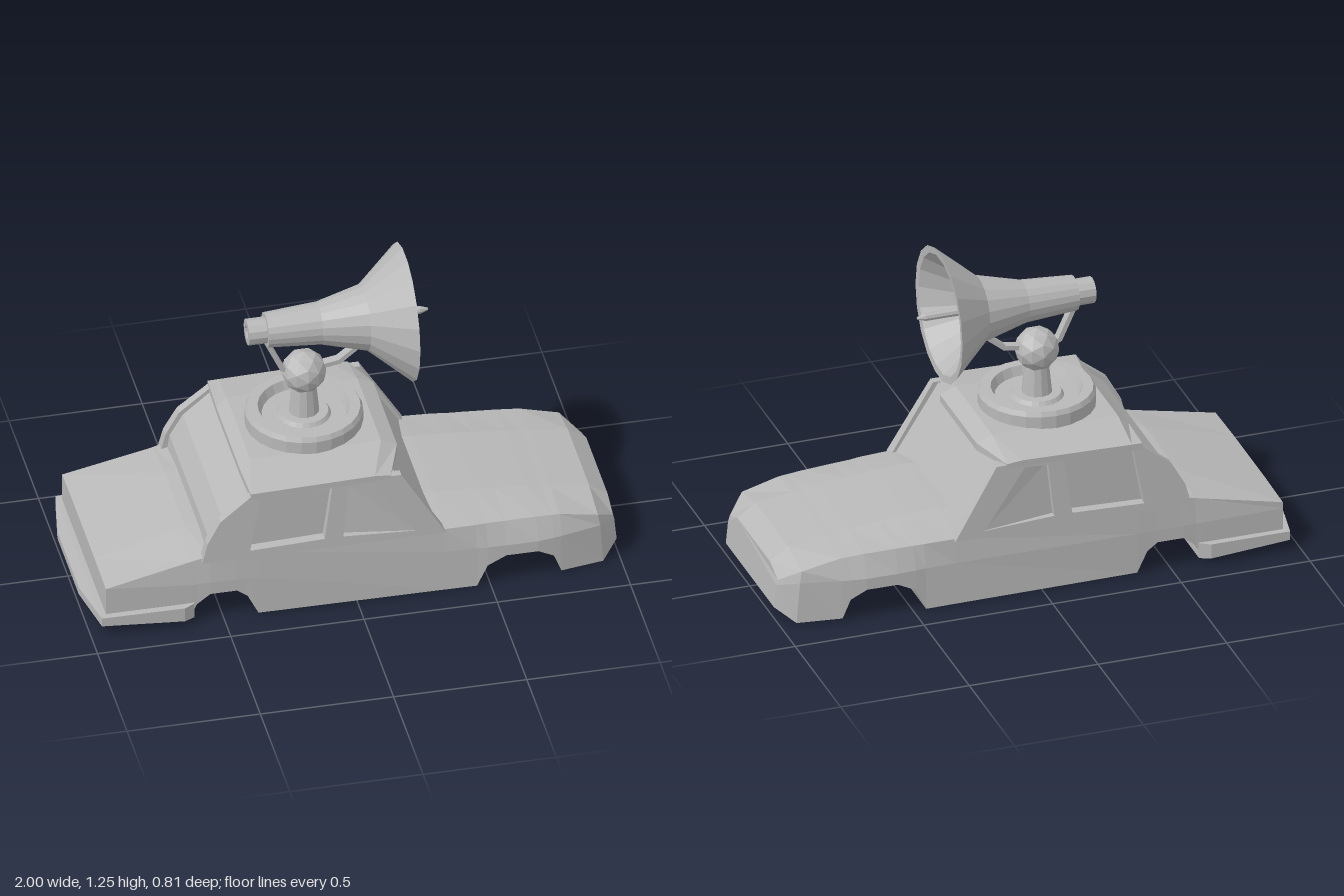
import * as THREE from 'three';

const grey = new THREE.MeshStandardMaterial({ color: 0xb8b8b8, flatShading: true, side: THREE.DoubleSide });
grey.name = 'plain grey';

function add(parent, name, geometry, x = 0, y = 0, z = 0) {
  const mesh = new THREE.Mesh(geometry, grey);
  mesh.name = name;
  mesh.position.set(x, y, z);
  parent.add(mesh);
  return mesh;
}

// Skin a list of equal-length rings and close both ends
function loft(rings) {
  const n = rings[0].length, pos = rings.flat(2), idx = [];
  for (let s = 0; s < rings.length - 1; s++) {
    for (let i = 0; i < n; i++) {
      const j = (i + 1) % n, a = s * n + i, b = s * n + j;
      idx.push(a, b, b + n, a, b + n, a + n);
    }
  }
  const e = (rings.length - 1) * n;
  for (let i = 1; i < n - 1; i++) idx.push(0, i + 1, i, e, e + i, e + i + 1);
  const g = new THREE.BufferGeometry();
  g.setAttribute('position', new THREE.Float32BufferAttribute(pos, 3));
  g.setIndex(idx);
  g.computeVertexNormals();
  return g;
}

const outline = (pts) => pts.map(([x, y]) => new THREE.Vector2(x, y));
const lathe = (pts, sides) => new THREE.LatheGeometry(outline(pts), sides);

// Lower body: x, underside y, bottom/mid/shoulder half widths, shoulder y, top y, forward lean at the bottom
function lowerBody() {
  const stations = [
    [-0.94, 0.06, 0.37, 0.37, 0.37, 0.195, 0.2, 0],
    [-0.62, 0.035, 0.378, 0.378, 0.365, 0.265, 0.285, 0],
    [-0.6, 0.08, 0.378, 0.378, 0.365, 0.27, 0.29, 0],
    [-0.55, 0.12, 0.38, 0.38, 0.37, 0.28, 0.295, 0],
    [-0.45, 0.12, 0.38, 0.38, 0.375, 0.28, 0.295, 0],
    [-0.41, 0.09, 0.38, 0.381, 0.376, 0.28, 0.295, 0],
    [-0.37, 0.01, 0.383, 0.382, 0.377, 0.28, 0.295, 0],
    [0.33, 0.006, 0.383, 0.376, 0.365, 0.265, 0.305, 0],
    [0.45, 0.005, 0.383, 0.378, 0.36, 0.262, 0.298, 0],
    [0.49, 0.09, 0.384, 0.382, 0.355, 0.26, 0.295, 0],
    [0.56, 0.125, 0.384, 0.384, 0.352, 0.258, 0.288, 0],
    [0.68, 0.125, 0.384, 0.384, 0.345, 0.254, 0.276, 0],
    [0.74, 0.09, 0.375, 0.375, 0.342, 0.25, 0.268, 0],
    [0.77, 0.015, 0.37, 0.37, 0.34, 0.248, 0.265, 0],
    [0.915, 0.005, 0.33, 0.335, 0.33, 0.215, 0.245, 0.02],
    [0.985, 0.05, 0.265, 0.265, 0.265, 0.16, 0.195, 0.015],
  ];
  return loft(stations.map(([x, yb, hb, hm, hs, ys, yt, lean]) => {
    const half = [[x, yt, 0.18], [x, ys, hs], [x + lean * 0.4, Math.min(0.17, ys - 0.02), hm], [x + lean, yb, hb]];
    return [...half, ...half.map(([a, b, c]) => [a, b, -c]).reverse()];
  }));
}

// Wrap-around rear bumper
function bumper() {
  const stations = [[-1, 0.18, 0.05, 0.08], [-0.96, 0.395, 0.048, 0.083], [-0.65, 0.405, 0.03, 0.088], [-0.61, 0.384, 0.028, 0.09]];
  return loft(stations.map(([x, h, b, t]) => [[x, t, -h], [x, t, h], [x, b, h], [x, b, -h]]));
}

const rearWindow = [[-0.4, 0.29], [-0.36, 0.515], [-0.09, 0.515], [-0.12, 0.3]];
const frontWindow = [[-0.05, 0.3], [-0.03, 0.51], [0.06, 0.515], [0.22, 0.285]];
const outerZ = (y) => 0.38 - (y - 0.25) * 0.05;

// Cabin side with window openings, leaning in towards the roof
function cabinSide(s) {
  const shape = new THREE.Shape(outline([[-0.58, 0.26], [0.335, 0.26], [0.17, 0.535],
    [-0.38, 0.535], [-0.41, 0.51], [-0.51, 0.43], [-0.56, 0.34]]));
  shape.holes = [rearWindow, frontWindow].map((w) => new THREE.Path(outline(w)));
  const g = new THREE.ExtrudeGeometry(shape, { depth: 1, bevelEnabled: false });
  const p = g.attributes.position;
  for (let i = 0; i < p.count; i++) {
    const outer = (p.getZ(i) > 0.5) === (s > 0);
    p.setZ(i, s * (outer ? outerZ(p.getY(i)) : 0.335));
  }
  return g;
}

// Front door pane: sunk at the door post, nearly flush at the windscreen
function frontPane(s) {
  const g = new THREE.ShapeGeometry(new THREE.Shape(outline(frontWindow)));
  const p = g.attributes.position;
  for (let i = 0; i < p.count; i++) {
    const sink = 0.022 * Math.max(0, 1 - (p.getX(i) + 0.05) / 0.15);
    p.setZ(i, s * (outerZ(p.getY(i)) - 0.003 - sink));
  }
  if (s < 0) g.index.array.reverse();
  g.computeVertexNormals();
  return g;
}

// Roof with chamfered sides and a front lip
function roof() {
  const stations = [[-0.367, 0.13, 0.525, 0.54, 0.54, -0.395], [-0.2, 0.19, 0.525, 0.555, 0.575, -0.4],
    [0.2, 0.19, 0.525, 0.555, 0.575, -0.4], [0.367, 0.13, 0.525, 0.54, 0.54, -0.395]];
  return loft(stations.map(([z, xf, yb, yl, yt, xr]) => [
    [xf, yb, z], [xf, yl, z], [xf - 0.06, yt + 0.006, z], [xr + 0.04, yt - 0.004, z], [xr, yb + 0.01, z], [xr, yb - 0.015, z]]));
}

export function createModel() {
  const model = new THREE.Group();
  model.name = 'loudspeakerCar';

  const car = new THREE.Group();
  car.name = 'car';
  model.add(car);
  add(car, 'lowerBody', lowerBody());
  add(car, 'rearBumper', bumper());
  const core = new THREE.Shape(outline([[-0.56, 0.24], [0.325, 0.24], [0.315, 0.27], [0.15, 0.53],
    [-0.385, 0.53], [-0.395, 0.505], [-0.495, 0.42], [-0.545, 0.335]]));
  add(car, 'cabinCore', new THREE.ExtrudeGeometry(core, { depth: 0.68, bevelEnabled: false }), 0, 0, -0.34);
  for (const s of [1, -1]) {
    add(car, 'cabinSide', cabinSide(s));
    add(car, 'frontDoorPane', frontPane(s));
  }
  add(car, 'roof', roof());

  // Turntable and ball mount
  const mount = new THREE.Group();
  mount.name = 'speakerMount';
  mount.position.x = -0.115;
  model.add(mount);
  add(mount, 'turntable', lathe([[0, 0.56], [0.218, 0.56], [0.218, 0.622], [0.208, 0.64], [0.17, 0.64],
    [0.155, 0.605], [0.1, 0.605], [0.09, 0.62], [0, 0.62]], 24));
  add(mount, 'neck', new THREE.CylinderGeometry(0.045, 0.058, 0.13, 12), 0, 0.675);
  add(mount, 'ball', new THREE.IcosahedronGeometry(0.084, 1), 0, 0.795);

  // Bracket arms from the ball to the horn
  const arms = [[[-0.06, 0.81], [-0.085, 0.825], [-0.14, 0.945]], [[0.07, 0.815], [0.13, 0.825], [0.21, 0.89]]];
  for (const arm of arms) {
    for (let i = 0; i < 2; i++) {
      const [[x0, y0], [x1, y1]] = [arm[i], arm[i + 1]];
      const bar = new THREE.BoxGeometry(Math.hypot(x1 - x0, y1 - y0) + 0.01, 0.018, 0.035);
      add(mount, 'bracketArm', bar, (x0 + x1) / 2, (y0 + y1) / 2).rotation.z = Math.atan2(y1 - y0, x1 - x0);
    }
  }

  // Horn, turned about its long axis and laid along x
  const horn = new THREE.Group();
  horn.name = 'horn';
  horn.position.y = 1;
  horn.rotation.z = -Math.PI / 2;
  model.add(horn);
  add(horn, 'bell', lathe([[0.05, -0.26], [0.066, -0.26], [0.08, -0.06], [0.125, 0.11], [0.26, 0.265],
    [0.232, 0.262], [0.112, 0.11], [0.066, -0.05], [0, -0.05]], 18));
  add(horn, 'driver', lathe([[0, -0.3], [0.026, -0.3], [0.026, -0.33], [0.05, -0.33], [0.05, -0.25]], 12));
  add(horn, 'hub', lathe([[0.06, -0.05], [0.06, 0.05], [0.034, 0.06], [0.034, 0.17], [0, 0.17]], 10));
  add(horn, 'pin', lathe([[0.015, 0.16], [0.015, 0.32], [0.005, 0.35], [0, 0.35]], 8));
  return model;
}
